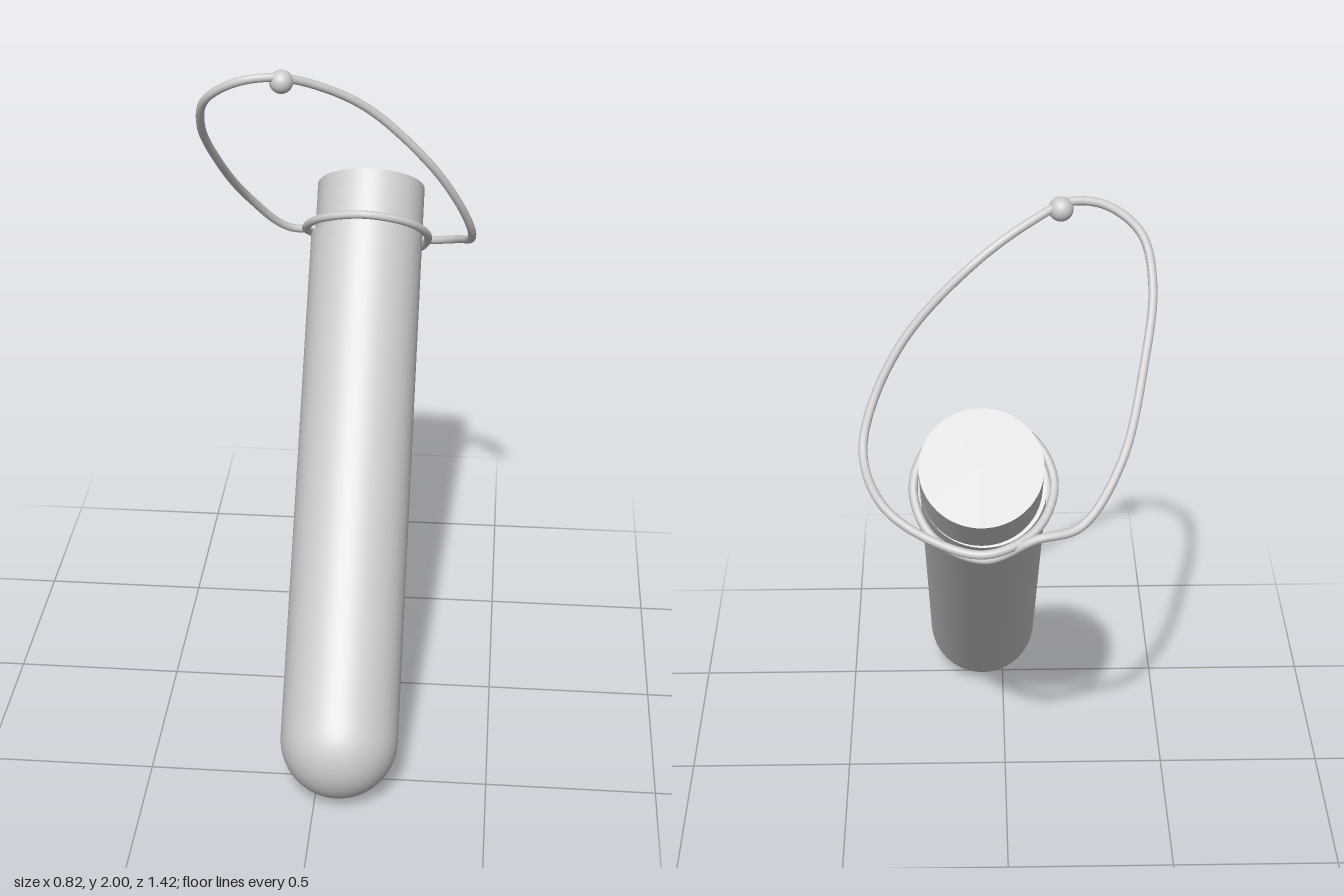
import * as THREE from 'three';

export function createModel() {
  const model = new THREE.Group();
  const grey = new THREE.MeshStandardMaterial({ color: 0xcccccc });
  grey.name = 'lightGrey';

  const tilt = 0.719;          // lean towards the back
  const centreX = 0.067;
  const radius = 0.172;
  const bodyTop = 1.54;        // measured from the centre of the round end
  const capTop = 1.708;

  const add = (parent, geometry, name) => {
    const mesh = new THREE.Mesh(geometry, grey);
    mesh.name = name;
    parent.add(mesh);
    return mesh;
  };

  // Leaning container: local y runs along its axis
  const container = new THREE.Group();
  container.name = 'container';
  container.position.set(centreX, radius, 0.545);
  container.rotation.x = -tilt;
  container.updateMatrix();
  model.add(container);

  // Body with hemispherical bottom
  const profile = [];
  for (let i = 0; i <= 16; i++) {
    const a = (i / 16) * Math.PI / 2;
    profile.push(new THREE.Vector2(radius * Math.sin(a), -radius * Math.cos(a)));
  }
  profile.push(new THREE.Vector2(radius, 0.02), new THREE.Vector2(radius, bodyTop));
  add(container, new THREE.LatheGeometry(profile, 64), 'body');

  // Narrow lip closing the body against the stopper
  const lip = add(container, new THREE.RingGeometry(0.15, radius, 64), 'lip');
  lip.rotation.x = -Math.PI / 2;
  lip.position.y = bodyTop;

  // Stopper
  const stopper = add(container, new THREE.CylinderGeometry(0.166, 0.166, capTop - bodyTop + 0.04, 64), 'stopper');
  stopper.position.set(0.006, (capTop + bodyTop - 0.04) / 2, 0);

  // Cord: a big free loop, then one turn round the neck
  const loop = [
    [-0.07, 1.275, -0.65], [-0.19, 1.295, -0.62], [-0.30, 1.43, -0.517],
    [-0.37, 1.63, -0.32], [-0.397, 1.79, -0.18], [-0.37, 1.90, -0.095],
    [-0.28, 1.966, -0.055], [-0.177, 1.983, -0.06], [-0.07, 1.95, -0.112],
    [0.087, 1.857, -0.18], [0.27, 1.67, -0.23], [0.367, 1.50, -0.30],
    [0.394, 1.385, -0.38], [0.345, 1.315, -0.52], [0.24, 1.27, -0.61],
  ].map(p => new THREE.Vector3(...p));
  // Angle in degrees, height on the axis, distance from the axis
  const wrap = [
    [-90, 1.612, 0.211], [-135, 1.59, 0.196], [-180, 1.565, 0.19],
    [-225, 1.555, 0.188], [-270, 1.552, 0.188], [-315, 1.55, 0.188],
    [-360, 1.55, 0.19], [-405, 1.55, 0.199], [-450, 1.553, 0.209],
  ].map(([deg, s, r]) => {
    const a = THREE.MathUtils.degToRad(deg);
    return new THREE.Vector3(r * Math.cos(a), s, r * Math.sin(a)).applyMatrix4(container.matrix);
  });
  const path = new THREE.CatmullRomCurve3([...loop, ...wrap], true);
  add(model, new THREE.TubeGeometry(path, 300, 0.0125, 12, true), 'cord');

  // Bead threaded on the cord
  const bead = add(model, new THREE.SphereGeometry(0.034, 32, 20), 'bead');
  bead.position.set(-0.15, 1.967, -0.073);

  return model;
}
